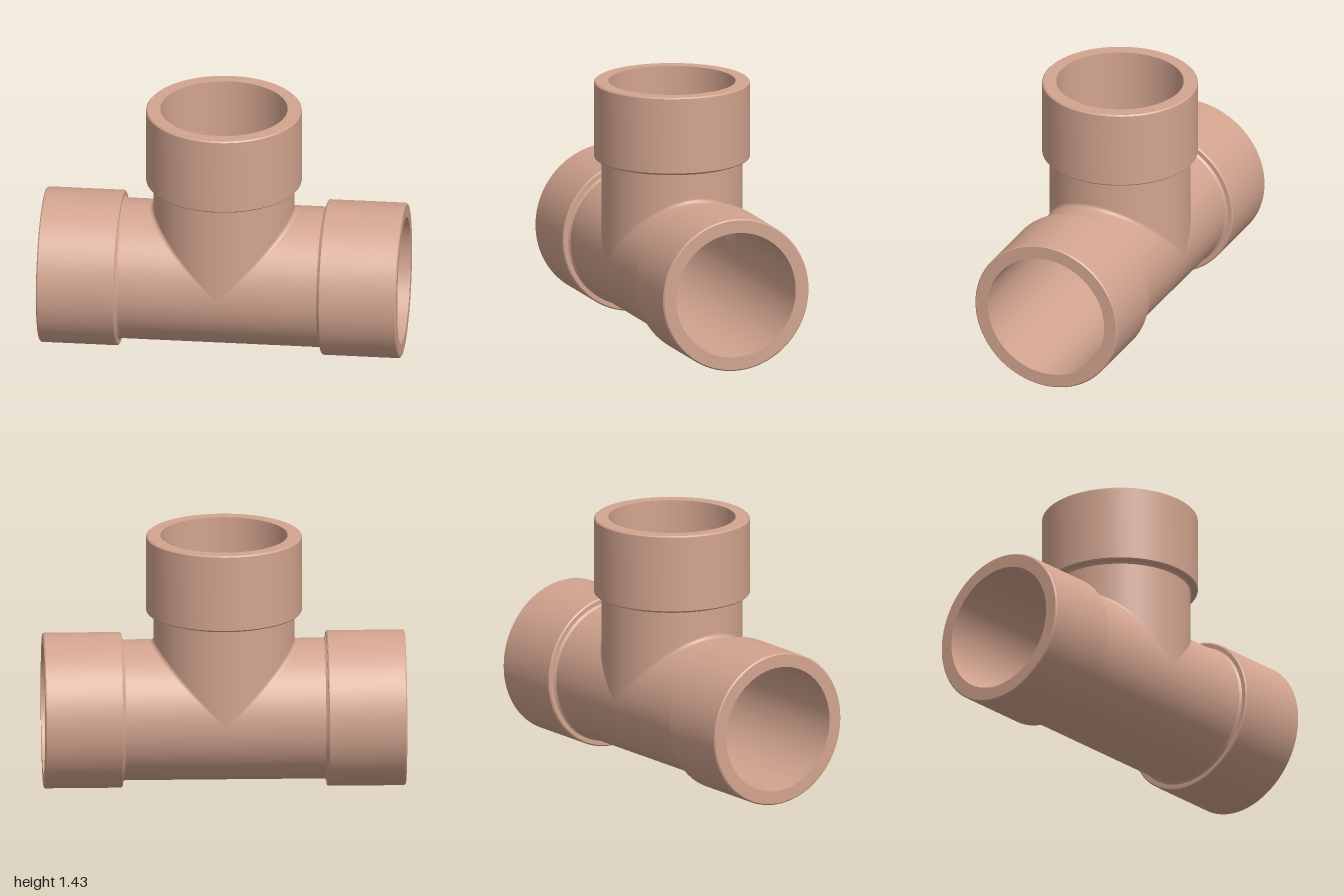
import * as THREE from 'three';
import { toCreasedNormals } from 'three/addons/utils/BufferGeometryUtils.js';

const SEG = 96;          // divisions around each pipe
const BODY = 0.389;      // outer radius of the pipe body
const COLLAR = 0.43;     // outer radius of the sockets
const BORE = 0.352;      // inner radius
const FILLET = 0.025;    // blend between branch and run
const ARM = 1;           // length of each arm from the crossing
const NECK = 0.553;      // where the body meets the socket

// Grid surface; fn(u, v) returns { p, n } with exact normals
function grid(nu, nv, fn, flip) {
  const pos = [], nor = [], idx = [];
  for (let j = 0; j <= nv; j++) {
    for (let i = 0; i <= nu; i++) {
      const { p, n } = fn(i / nu, j / nv);
      pos.push(...p);
      nor.push(...n);
      if (i === nu || j === nv) continue;
      const a = j * (nu + 1) + i, b = a + 1, c = a + nu + 1, d = c + 1;
      if (flip) idx.push(a, c, b, b, c, d);
      else idx.push(a, b, c, b, d, c);
    }
  }
  const g = new THREE.BufferGeometry();
  g.setAttribute('position', new THREE.Float32BufferAttribute(pos, 3));
  g.setAttribute('normal', new THREE.Float32BufferAttribute(nor, 3));
  g.setIndex(idx);
  return g;
}

// Pipe wall along +y whose lower end follows the mitre rule start(cos a)
function pipeWall(radius, start, end, outward) {
  const s = outward ? 1 : -1;
  return grid(SEG, 1, (u, v) => {
    const a = u * Math.PI * 2, c = Math.cos(a), z = Math.sin(a);
    const y = THREE.MathUtils.lerp(start(c), end, v);
    return { p: [radius * c, y, radius * z], n: [s * c, 0, s * z] };
  }, outward);
}

// Rolling-ball blend where the branch meets one half of the run
function blend() {
  return grid(SEG / 2, 6, (u, v) => {
    const a = u * Math.PI, s = Math.sin(a), c = Math.cos(a), k = BODY + FILLET;
    const t = v * Math.PI / 2;
    const d = new THREE.Vector3(-s * Math.sin(t), -s * Math.cos(t), -c * (Math.sin(t) + Math.cos(t)));
    if (d.lengthSq() < 1e-8) d.set(0, 0, -Math.sign(c || 1));
    d.normalize();
    return {
      p: [k * s + FILLET * d.x, k * s + FILLET * d.y, k * c + FILLET * d.z],
      n: [-d.x, -d.y, -d.z],
    };
  }, false);
}

// Socket with softened edges, from the neck round to the bore
function socket() {
  const profile = [
    [BODY, NECK], [BODY + 0.01, 0.565], [COLLAR - 0.007, 0.565], [COLLAR, 0.572],
    [COLLAR, ARM - 0.007], [COLLAR - 0.007, ARM], [BORE, ARM],
  ].map(([x, y]) => new THREE.Vector2(x, y));
  return toCreasedNormals(new THREE.LatheGeometry(profile, SEG), 0.5);
}

export function createModel() {
  const model = new THREE.Group();
  model.name = 'pipeTee';
  const clay = new THREE.MeshStandardMaterial({ color: 0xd2a48f });
  clay.name = 'clay pink plastic';

  const add = (parent, name, geometry) => {
    const mesh = new THREE.Mesh(geometry, clay);
    mesh.name = name;
    parent.add(mesh);
    return mesh;
  };

  // All three arms meet at the crossing of the axes
  const tee = new THREE.Group();
  tee.name = 'tee';
  tee.position.y = COLLAR;
  model.add(tee);

  // Each arm is mitred only on the sides that face a neighbouring arm
  const socketGeometry = socket();
  const arms = [
    ['branch', 0, Math.abs],
    ['leftArm', -Math.PI / 2, c => Math.max(0, -c)],
    ['rightArm', Math.PI / 2, c => Math.max(0, c)],
  ];
  for (const [name, turn, mitre] of arms) {
    const arm = new THREE.Group();
    arm.name = name;
    arm.rotation.z = turn;
    add(arm, name + 'Body', pipeWall(BODY, c => (BODY + FILLET) * mitre(c), NECK, true));
    add(arm, name + 'Bore', pipeWall(BORE, c => BORE * mitre(c), ARM, false));
    add(arm, name + 'Socket', socketGeometry);
    tee.add(arm);
  }

  // Blends on both sides of the branch
  const blendGeometry = blend();
  add(tee, 'leftBlend', blendGeometry);
  add(tee, 'rightBlend', blendGeometry).rotation.y = Math.PI;

  return model;
}
